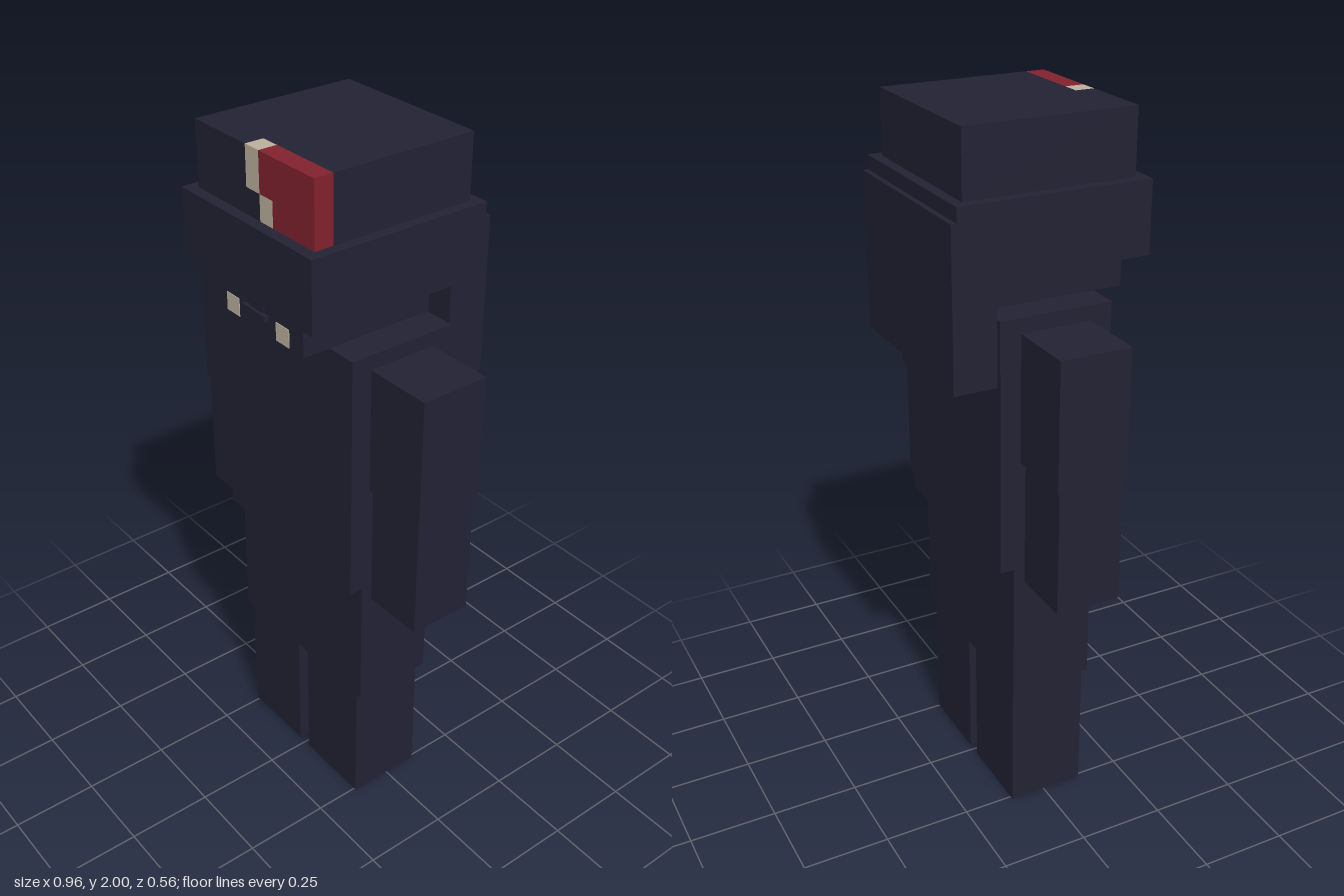
import * as THREE from 'three';

const navy = new THREE.MeshStandardMaterial({ name: 'navy', color: 0x222234 });
const red = new THREE.MeshStandardMaterial({ name: 'red', color: 0x82222d });
const cream = new THREE.MeshStandardMaterial({ name: 'cream', color: 0xbcb09c });

// Box given by its [min, max] on each axis
function block(name, material, [x0, x1], [y0, y1], [z0, z1]) {
  const mesh = new THREE.Mesh(new THREE.BoxGeometry(x1 - x0, y1 - y0, z1 - z0), material);
  mesh.position.set((x0 + x1) / 2, (y0 + y1) / 2, (z0 + z1) / 2);
  mesh.name = name;
  return mesh;
}

export function createModel() {
  const model = new THREE.Group();
  model.name = 'figure';
  const add = (...args) => model.add(block(...args));

  // Body
  add('torso', navy, [-0.28, 0.28], [0.803, 1.522], [-0.153, 0.165]);
  add('hips', navy, [-0.28, 0.28], [0.4, 0.803], [-0.112, 0.126]);

  // Legs and arms, one pass per side
  for (const s of [1, -1]) {
    const side = s > 0 ? 'left' : 'right';
    const span = (a, b) => (s > 0 ? [a, b] : [-b, -a]);
    add(side + 'Leg', navy, s > 0 ? [0.02, 0.256] : [-0.26, -0.024], [0, 0.4], [-0.104, 0.12]);
    add(side + 'UpperArm', navy, span(0.28, 0.478), [1.122, 1.48], [-0.094, 0.105]);
    add(side + 'Forearm', navy, span(0.289, 0.47), [0.762, 1.122], [-0.085, 0.1]);
    add(side + 'Eye', cream, span(0.079, 0.133), [1.524, 1.575], [0.241, 0.247]);
  }

  // Head and face
  add('head', navy, [-0.19, 0.19], [1.522, 1.624], [-0.16, 0.245]);
  add('nose', navy, [-0.03, 0.03], [1.575, 1.624], [0.24, 0.249]);
  add('noseTip', navy, [-0.053, 0.047], [1.562, 1.578], [0.24, 0.257]);

  // Cap: brim band, neck flap and crown
  add('capBand', navy, [-0.27, 0.27], [1.624, 1.822], [-0.262, 0.278]);
  add('neckFlap', navy, [-0.27, 0.27], [1.342, 1.782], [-0.277, -0.156]);
  add('crown', navy, [-0.24, 0.24], [1.822, 2], [-0.233, 0.192]);

  // Crown front panels
  const front = [0.192, 0.246];
  add('crownFront', navy, [-0.24, -0.028], [1.822, 2], front);
  add('crownFrontLower', navy, [-0.028, 0.026], [1.822, 1.892], front);
  add('upperStripe', cream, [-0.028, 0.026], [1.892, 2], front);
  add('lowerStripe', cream, [0.026, 0.078], [1.822, 1.892], front);
  add('redPanelUpper', red, [0.026, 0.24], [1.892, 2], front);
  add('redPanelLower', red, [0.078, 0.24], [1.822, 1.892], front);

  return model;
}
